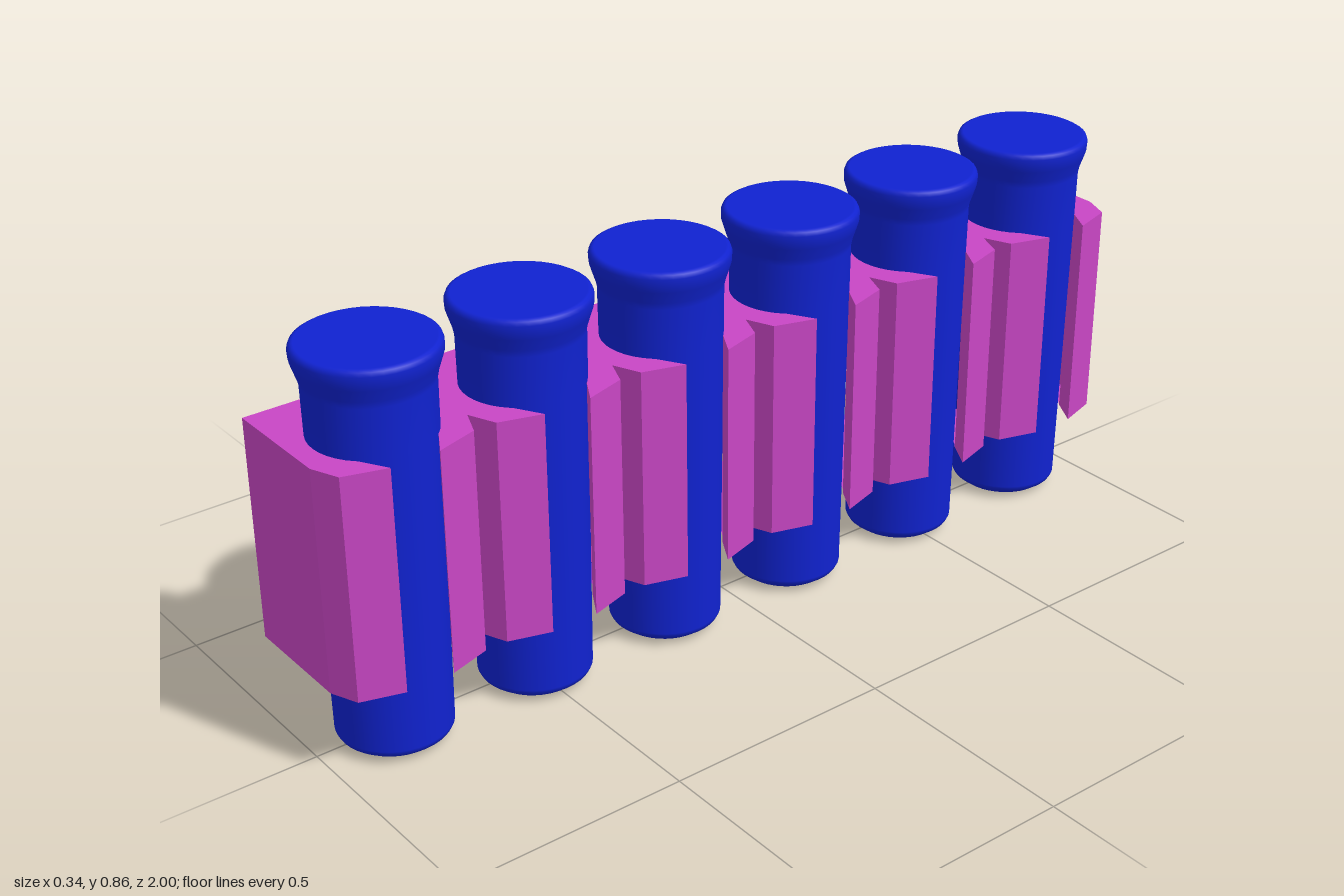
import * as THREE from 'three';
import { mergeGeometries } from 'three/addons/utils/BufferGeometryUtils.js';

const COUNT = 6, PITCH = 2 / COUNT, AXIS_X = 0.018;
const BOTTOM = 0.19, TOP = 0.67, BACK = -0.17, VALLEY = 0.08;
const HOLE = 0.123, OPENING = 0.8; // hole radius and half angle of the clip mouth

// one side of a clip arm as [x, distance from the clip centre]
const ARM = [
  [VALLEY, PITCH / 2],
  [0.14, 0.142],
  [0.167, 0.052],
  [AXIS_X + HOLE * Math.cos(OPENING), HOLE * Math.sin(OPENING)],
];

// upright flat wall standing on the line from a to b, given as [x, z]
function wall(a, b) {
  const dx = b[0] - a[0], dz = b[1] - a[1];
  const g = new THREE.PlaneGeometry(Math.hypot(dx, dz), TOP - BOTTOM);
  g.rotateY(Math.atan2(-dz, dx));
  g.translate((a[0] + b[0]) / 2, (TOP + BOTTOM) / 2, (a[1] + b[1]) / 2);
  return g;
}

export function createModel() {
  const model = new THREE.Group();
  const pink = new THREE.MeshStandardMaterial({ color: 0xc846c4, side: THREE.DoubleSide });
  const blue = new THREE.MeshStandardMaterial({ color: 0x1022d0 });
  const centres = Array.from({ length: COUNT }, (_, i) => -1 + PITCH * (i + 0.5));

  // holder plates: a strip with a row of C-shaped cut-outs
  const outline = new THREE.Shape();
  outline.moveTo(BACK, -1);
  const walls = [];
  for (const c of centres) {
    for (const [x, d] of ARM) outline.lineTo(x, c - d);
    outline.absarc(AXIS_X, c, HOLE, -OPENING, OPENING, true);
    for (const [x, d] of [...ARM].reverse()) outline.lineTo(x, c + d);
    for (const s of [-1, 1]) {
      for (let i = 0; i < ARM.length - 1; i++) {
        const a = [ARM[i][0], c + s * ARM[i][1]];
        const b = [ARM[i + 1][0], c + s * ARM[i + 1][1]];
        walls.push(s < 0 ? wall(b, a) : wall(a, b));
      }
    }
  }
  outline.lineTo(BACK, 1);
  outline.closePath();

  const holder = new THREE.Group();
  holder.name = 'clipHolder';
  for (const [name, y] of [['bottomPlate', BOTTOM], ['topPlate', TOP]]) {
    const g = new THREE.ShapeGeometry(outline, 20);
    g.rotateX(y === TOP ? -Math.PI / 2 : Math.PI / 2);
    if (y === TOP) g.scale(1, 1, -1); // restore the z order after turning upward
    if (y === TOP) {
      // mirrored faces need their corner order swapped
      const index = g.index;
      for (let i = 0; i < index.count; i += 3) {
        const k = index.getX(i);
        index.setX(i, index.getX(i + 1));
        index.setX(i + 1, k);
      }
    }
    g.translate(0, y, 0);
    const plate = new THREE.Mesh(g, pink);
    plate.name = name;
    holder.add(plate);
  }

  // end walls and arm walls; the back stays open
  walls.push(wall([BACK, 1], [VALLEY, 1]), wall([VALLEY, -1], [BACK, -1]));
  const sides = new THREE.Mesh(mergeGeometries(walls), pink);
  sides.name = 'clipWalls';
  holder.add(sides);
  model.add(holder);

  // vials: slightly tapered tubes with a chamfered foot and flared cap
  const profile = [
    [0, 0], [0.08, 0.001], [0.097, 0.005], [0.114, 0.018], [0.118, 0.026],
    [0.118, 0.03], [0.125, 0.67], [0.126, 0.775], [0.129, 0.79], [0.137, 0.815],
    [0.141, 0.828], [0.142, 0.845], [0.139, 0.853], [0.134, 0.856], [0.13, 0.857], [0, 0.857],
  ].map(([r, y]) => new THREE.Vector2(r, y));
  const vialGeometry = new THREE.LatheGeometry(profile, 40);
  centres.forEach((c, i) => {
    const vial = new THREE.Mesh(vialGeometry, blue);
    vial.name = `vial${i + 1}`;
    vial.position.set(AXIS_X, 0, c);
    model.add(vial);
  });
  return model;
}
